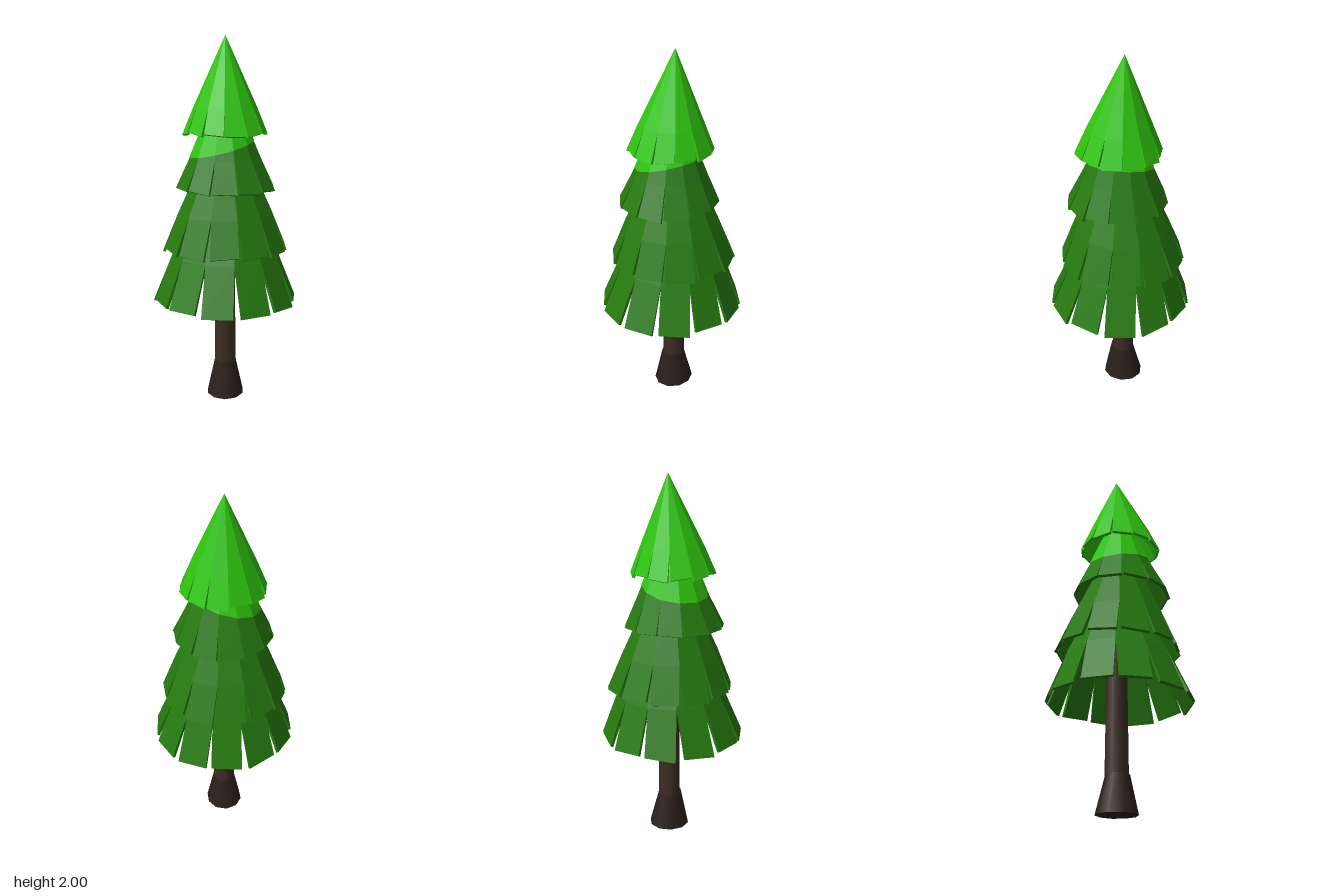
import * as THREE from 'three';

const SIDES = 12;
const TAN = Math.tan(Math.PI / SIDES);
const THICK = 0.014;

function makeRandom(seed) {
  return () => {
    seed = (seed * 16807) % 2147483647;
    return seed / 2147483647;
  };
}

// One shell panel: a wedge of the cone ending in a free-hanging flap.
// rows run from top to bottom as [distance from axis, height, centre z].
function addPanel(out, angle, rows, flapWidth, rand) {
  const c = Math.cos(angle), s = Math.sin(angle);
  const place = (a, h, y, cz) => [c * a - s * h, y, s * a + c * h + cz];
  const slope = (rows[2][0] - rows[1][0]) / (rows[1][1] - rows[2][1]);
  const lift = (rand() - 0.5) * 0.014;
  const twist = (rand() - 0.5) * 0.03;
  const slide = (rand() - 0.5) * flapWidth * 0.08;
  const ring = rows.map(([a, y, cz], i) => {
    const inner = Math.max(a - THICK, 0);
    const corner = (side, r) => {
      const low = r === a ? y : y - 0.006;
      if (i < 2) return place(r, side * r * TAN, low, cz);
      const drop = lift + side * twist * 0.5;
      return place(r + drop * slope, side * flapWidth / 2 + slide, low - drop, cz);
    };
    return { op: corner(1, a), om: corner(-1, a), ip: corner(1, inner), im: corner(-1, inner) };
  });
  const quad = (p, q, r, t) => out.push(...p, ...q, ...r, ...p, ...r, ...t);
  for (let i = 0; i < 2; i++) {
    const u = ring[i], l = ring[i + 1];
    quad(l.op, l.om, u.om, u.op); // outside
    quad(l.im, l.ip, u.ip, u.im); // inside
    if (i === 1) {
      quad(l.ip, l.op, u.op, u.ip); // flap sides and lower edge
      quad(l.om, l.im, u.im, u.om);
      quad(l.op, l.ip, l.im, l.om);
    }
  }
}

function makeTier(name, material, { rows, width, phase, seed }) {
  const rand = makeRandom(seed);
  const positions = [];
  for (let k = 0; k < SIDES; k++) {
    addPanel(positions, phase + (k * 2 * Math.PI) / SIDES, rows, width, rand);
  }
  const geometry = new THREE.BufferGeometry();
  geometry.setAttribute('position', new THREE.Float32BufferAttribute(positions, 3));
  geometry.computeVertexNormals();
  const mesh = new THREE.Mesh(geometry, material);
  mesh.name = name;
  return mesh;
}

export function createModel() {
  const tree = new THREE.Group();
  tree.name = 'pineTree';
  const lightGreen = new THREE.MeshStandardMaterial({ name: 'lightGreen', color: 0x2fc40e });
  const darkGreen = new THREE.MeshStandardMaterial({ name: 'darkGreen', color: 0x26790f });
  const bark = new THREE.MeshStandardMaterial({ name: 'bark', color: 0x3d2d24 });
  const darkBark = new THREE.MeshStandardMaterial({ name: 'darkBark', color: 0x2b201a });

  // Foliage tiers
  tree.add(makeTier('bottomTier', darkGreen, {
    rows: [[0.15, 1.12, -0.02], [0.285, 0.83, -0.01], [0.385, 0.583, 0]],
    width: 0.165, phase: 0.075, seed: 17,
  }));
  tree.add(makeTier('lowerMiddleTier', darkGreen, {
    rows: [[0.12, 1.36, -0.01], [0.255, 1.06, -0.012], [0.333, 0.868, -0.015]],
    width: 0.15, phase: 0, seed: 91,
  }));
  tree.add(makeTier('upperMiddleTier', darkGreen, {
    rows: [[0.09, 1.6, 0], [0.19, 1.36, 0.005], [0.262, 1.205, 0.012]],
    width: 0.128, phase: 0, seed: 233,
  }));
  tree.add(makeTier('topTier', lightGreen, {
    rows: [[0, 2, -0.025], [0.163, 1.63, 0], [0.22, 1.492, 0.005]],
    width: 0.104, phase: Math.PI / SIDES, seed: 58,
  }));

  // Light collar below the top tier, its lower rim tilted to one side
  const collarGeometry = new THREE.CylinderGeometry(1, 1, 1, SIDES, 1, true, Math.PI / SIDES);
  const pos = collarGeometry.attributes.position;
  for (let i = 0; i < pos.count; i++) {
    const x = pos.getX(i), z = pos.getZ(i);
    const y = pos.getY(i) > 0 ? 1.59 : 1.41 + 0.046 * x - 0.008 * z;
    const r = (0.09 + (1.6 - y) * 0.417) / Math.cos(Math.PI / SIDES) + 0.003;
    pos.setXYZ(i, x * r, y, z * r + 0.003);
  }
  const facets = collarGeometry.toNonIndexed();
  facets.computeVertexNormals();
  const collar = new THREE.Mesh(facets, lightGreen);
  collar.name = 'lightCollar';
  tree.add(collar);

  // Trunk and flared foot
  const trunk = new THREE.Mesh(new THREE.CylinderGeometry(0.052, 0.062, 1.0, 10), bark);
  trunk.name = 'trunk';
  trunk.position.set(0, 0.7, -0.02);
  tree.add(trunk);

  const foot = new THREE.Mesh(new THREE.CylinderGeometry(0.062, 0.108, 0.2, 10), darkBark);
  foot.name = 'trunkFoot';
  foot.position.set(0, 0.107, -0.017);
  foot.scale.set(0.97, 1, 1.06);
  foot.rotation.x = 0.03;
  tree.add(foot);

  return tree;
}
